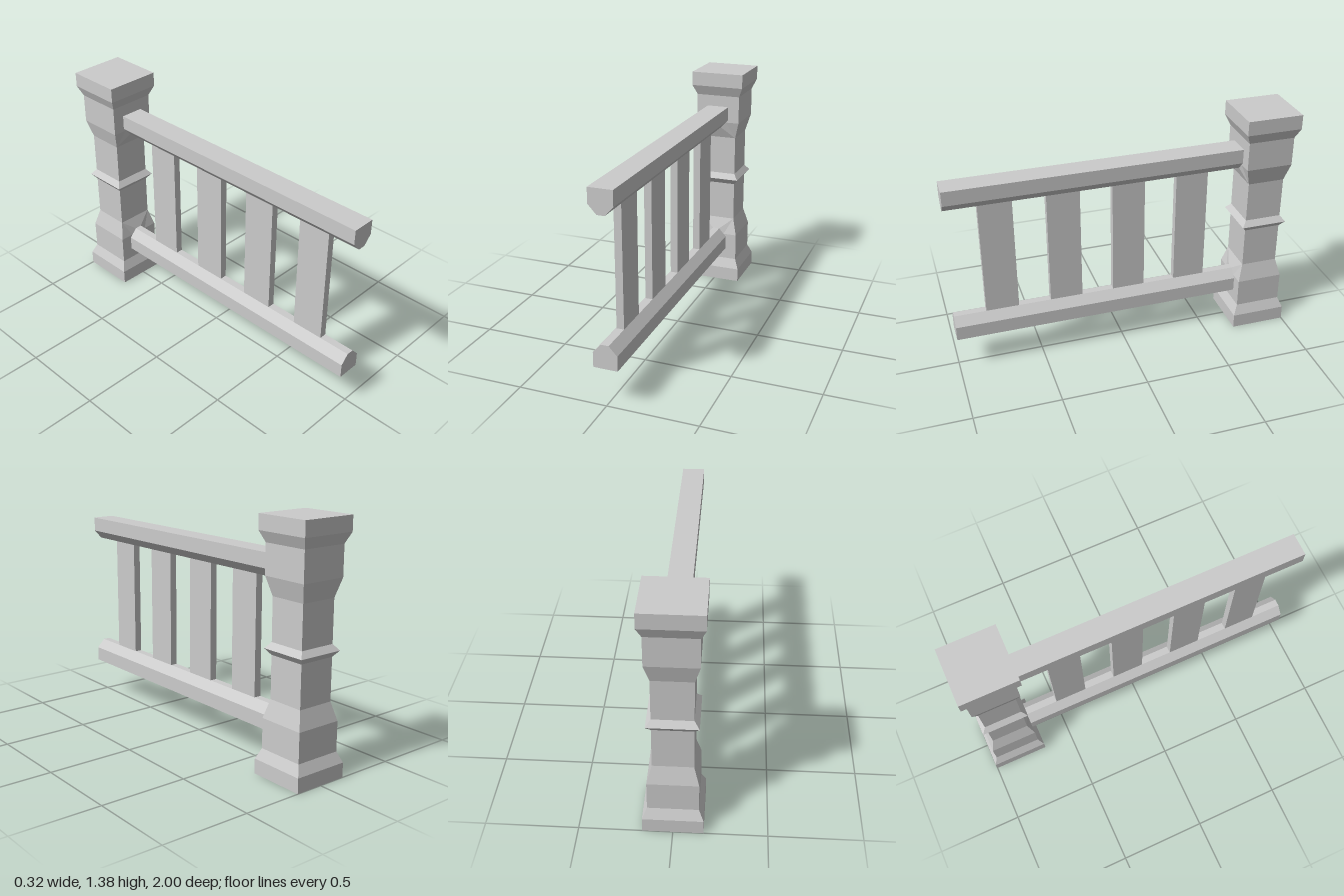
import * as THREE from 'three';

const HEIGHT = 1.376, MID = HEIGHT / 2;
const POST_Z = -0.838, JOIN_Z = -0.702;

function createMaterial(extra = {}) {
  return new THREE.MeshStandardMaterial({ color: 0xcccccc, flatShading: true, ...extra });
}

function faceted(geometry) {
  const flat = geometry.index ? geometry.toNonIndexed() : geometry;
  flat.computeVertexNormals();
  return flat;
}

function addMesh(parent, name, geometry, material) {
  const mesh = new THREE.Mesh(faceted(geometry), material);
  mesh.name = name;
  parent.add(mesh);
  return mesh;
}

// Square post: half-widths up to the middle collar, mirrored for the top half
function postGeometry() {
  const lower = [[0, 0], [0.162, 0], [0.162, 0.084], [0.136, 0.144], [0.136, 0.312], [0.108, 0.416], [0.108, 0.654]];
  const upper = lower.map(([r, y]) => [r, HEIGHT - y]).reverse();
  const profile = [...lower, [0.135, MID], ...upper]
    .map(([r, y]) => new THREE.Vector2(r * Math.SQRT2, y));
  return new THREE.LatheGeometry(profile, 4, Math.PI / 4);
}

// Upper rail section, heights measured from the middle of the post
const railHalf = 0.067, flatHalf = 0.021;
const railTop = 1.164 - MID, chamfer = 1.08 - MID, railBottom = 1.03 - MID;

function railGeometry() {
  const section = new THREE.Shape([
    [-flatHalf, railBottom], [flatHalf, railBottom], [railHalf, chamfer],
    [railHalf, railTop], [-railHalf, railTop], [-railHalf, chamfer],
  ].map(([x, y]) => new THREE.Vector2(x, y)));
  const start = JOIN_Z - 0.008;
  return new THREE.ExtrudeGeometry(section, { depth: 1 - start, bevelEnabled: false }).translate(0, 0, start);
}

// Sloped facets blending the narrow shaft of the post into the rail
function jointGeometry() {
  const points = [
    -0.108, 0.96 - MID, -0.73, 0.108, 0.96 - MID, -0.73,
    flatHalf, railBottom, JOIN_Z, -flatHalf, railBottom, JOIN_Z,
    railHalf, chamfer, JOIN_Z, -railHalf, chamfer, JOIN_Z,
  ];
  const geometry = new THREE.BufferGeometry();
  geometry.setAttribute('position', new THREE.Float32BufferAttribute(points, 3));
  geometry.setIndex([0, 1, 2, 0, 2, 3, 1, 4, 2, 0, 3, 5]);
  return geometry;
}

export function createModel() {
  const model = new THREE.Group();
  model.name = 'railingSection';
  const material = createMaterial();
  const thin = createMaterial({ side: THREE.DoubleSide });

  addMesh(model, 'post', postGeometry(), material).position.z = POST_Z;

  // The bottom rail is the top rail turned upside down
  for (const [name, turn] of [['topRail', 0], ['bottomRail', Math.PI]]) {
    const rail = new THREE.Group();
    rail.name = name;
    rail.position.y = MID;
    rail.rotation.z = turn;
    addMesh(rail, name + 'Beam', railGeometry(), material);
    addMesh(rail, name + 'Joint', jointGeometry(), thin);
    model.add(rail);
  }

  // Flat balusters between the rails
  for (let i = 0; i < 4; i++) {
    const baluster = addMesh(model, 'baluster' + (i + 1),
      new THREE.BoxGeometry(flatHalf * 2, railBottom * 2, 0.19), material);
    baluster.position.set(0, MID, 0.719 - i * 0.378);
  }
  return model;
}
